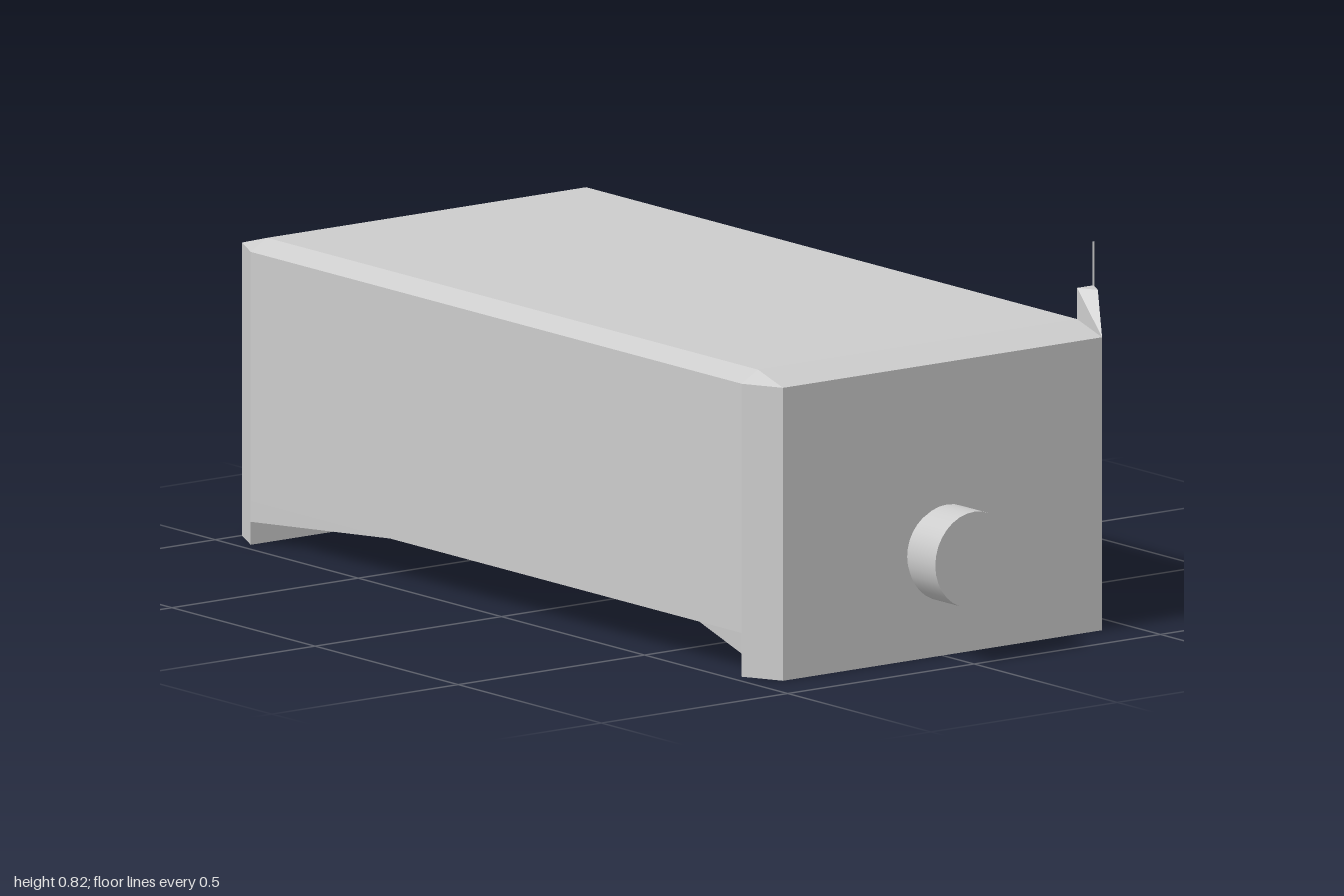
import * as THREE from 'three';
import { ConvexGeometry } from 'three/addons/geometries/ConvexGeometry.js';

const metal = new THREE.MeshStandardMaterial({ color: 0xcccccc });
metal.name = 'paintedMetal';

// Main dimensions
const X = 0.472, XI = 0.428;              // full and chamfered half widths
const FRONT = 0.89, FRONT_IN = 0.803;     // front face and start of its chamfer
const BACK = -1, BACK_IN = -0.912;        // back face and start of its chamfer
const EAVE = 0.637, TOP = 0.662, FLOOR = 0.095;

export function createModel() {
  const model = new THREE.Group();
  model.name = 'container';

  const add = (name, geometry) => {
    const mesh = new THREE.Mesh(geometry, metal);
    mesh.name = name;
    model.add(mesh);
    return mesh;
  };
  const at = (outline, y) => outline.map(([x, z]) => new THREE.Vector3(x, y, z));
  const prism = (outline, y0, y1) => new ConvexGeometry([...at(outline, y0), ...at(outline, y1)]);

  // Body with chamfered corners and a shallow bevelled roof
  const frontEnd = [[-X, FRONT_IN], [-XI, FRONT], [XI, FRONT], [X, FRONT_IN]];
  const backEnd = [[X, BACK_IN], [XI, BACK], [-XI, BACK], [-X, BACK_IN]];
  const footprint = [...frontEnd, ...backEnd];
  const roof = [[-XI, FRONT_IN], [XI, FRONT_IN], [XI, BACK_IN], [-XI, BACK_IN]];
  add('body', new ConvexGeometry([...at(footprint, FLOOR), ...at(footprint, EAVE), ...at(roof, TOP)]));

  // End walls reach down to the ground
  add('frontFoot', prism(frontEnd, 0, FLOOR));
  add('backFoot', prism(backEnd, 0, FLOOR));

  // Crossed braces under the floor
  for (const s of [1, -1]) {
    add(s > 0 ? 'braceLeft' : 'braceRight', prism(
      [[s * 0.23, FRONT_IN], [s * X, FRONT_IN], [-s * 0.23, BACK_IN], [-s * X, BACK_IN]],
      0.05, FLOOR));
  }

  // Round cap on a narrower neck
  const cap = (name, radius, z0, z1) => {
    const mesh = add(name, new THREE.CylinderGeometry(radius, radius, z1 - z0, 32));
    mesh.rotation.x = Math.PI / 2;
    mesh.position.set(0, 0.227, (z0 + z1) / 2);
  };
  cap('capNeck', 0.095, 0.88, 0.91);
  cap('cap', 0.104, 0.905, 1);

  // Raised wedge on the front left corner
  const corner = [[XI, FRONT], [X, FRONT_IN], [XI, FRONT_IN]];
  const crest = [[(XI + X) / 2, (FRONT + FRONT_IN) / 2], [X, FRONT_IN], [XI, FRONT_IN]];
  add('cornerWedge', new ConvexGeometry([...at(corner, EAVE), ...at(crest, 0.73)]));

  // Thin aerial
  const aerial = add('aerial', new THREE.BoxGeometry(0.003, 0.19, 0.003));
  aerial.position.set(X - 0.0015, 0.73, FRONT_IN + 0.0015);

  return model;
}
